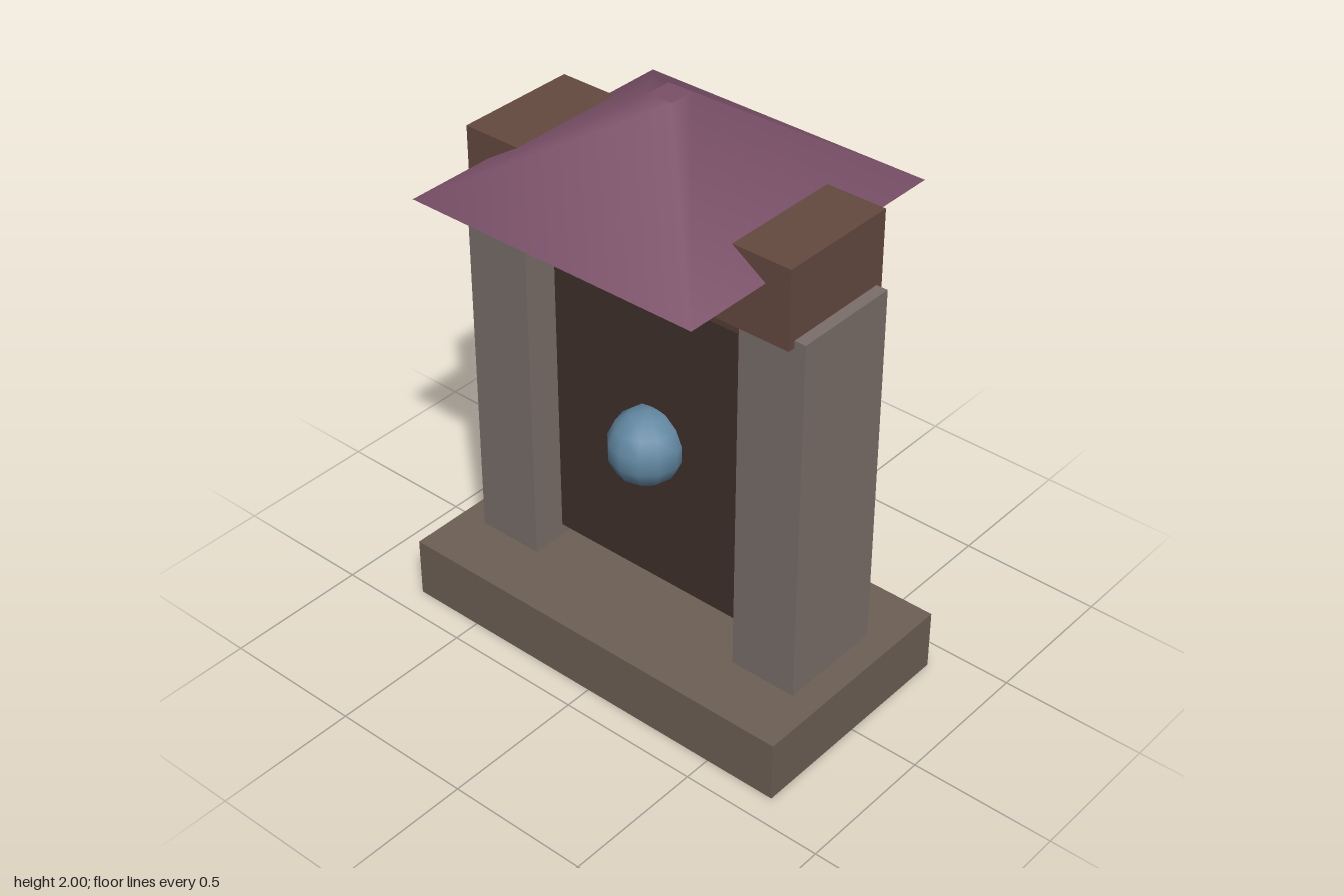
import * as THREE from 'three';

const mat = (color) => new THREE.MeshStandardMaterial({ color });

export function createModel() {
  const group = new THREE.Group();
  const stone = mat(0x7a6f69);

  const add = (name, geometry, material, x, y, z) => {
    const mesh = new THREE.Mesh(geometry, material);
    mesh.name = name;
    mesh.position.set(x, y, z);
    group.add(mesh);
    return mesh;
  };
  // Box given by its size, bottom height and centre
  const box = (name, w, h, d, material, x, bottom, z) =>
    add(name, new THREE.BoxGeometry(w, h, d), material, x, bottom + h / 2, z);

  // Base slab and the two pillars
  box('base', 1.51, 0.215, 0.81, mat(0x6e6056), 0, 0, 0);
  for (const side of [-1, 1]) {
    box(side > 0 ? 'leftPillar' : 'rightPillar', 0.24, 1.3, 0.38, stone, side * 0.54, 0.215, 0);
  }

  // Lintel and hanging door panel
  box('lintel', 1.24, 0.27, 0.43, mat(0x644a40), 0, 1.49, 0);
  box('doorPanel', 0.81, 1.08, 0.05, mat(0x40302b), 0, 0.275, 0.055);

  // Truncated four-sided roof, softly shaded across its hips
  const roofGeometry = new THREE.CylinderGeometry(0.045 * Math.SQRT2, 0.532 * Math.SQRT2, 0.32, 4);
  roofGeometry.rotateY(Math.PI / 4);
  add('roof', roofGeometry, mat(0x7a5068), 0, 1.84, 0);

  // Orb set through the panel
  const orb = add('orb', new THREE.SphereGeometry(0.132, 12, 7), mat(0x6288a2), 0, 0.814, 0.112);
  orb.scale.x = 0.96;

  return group;
}
